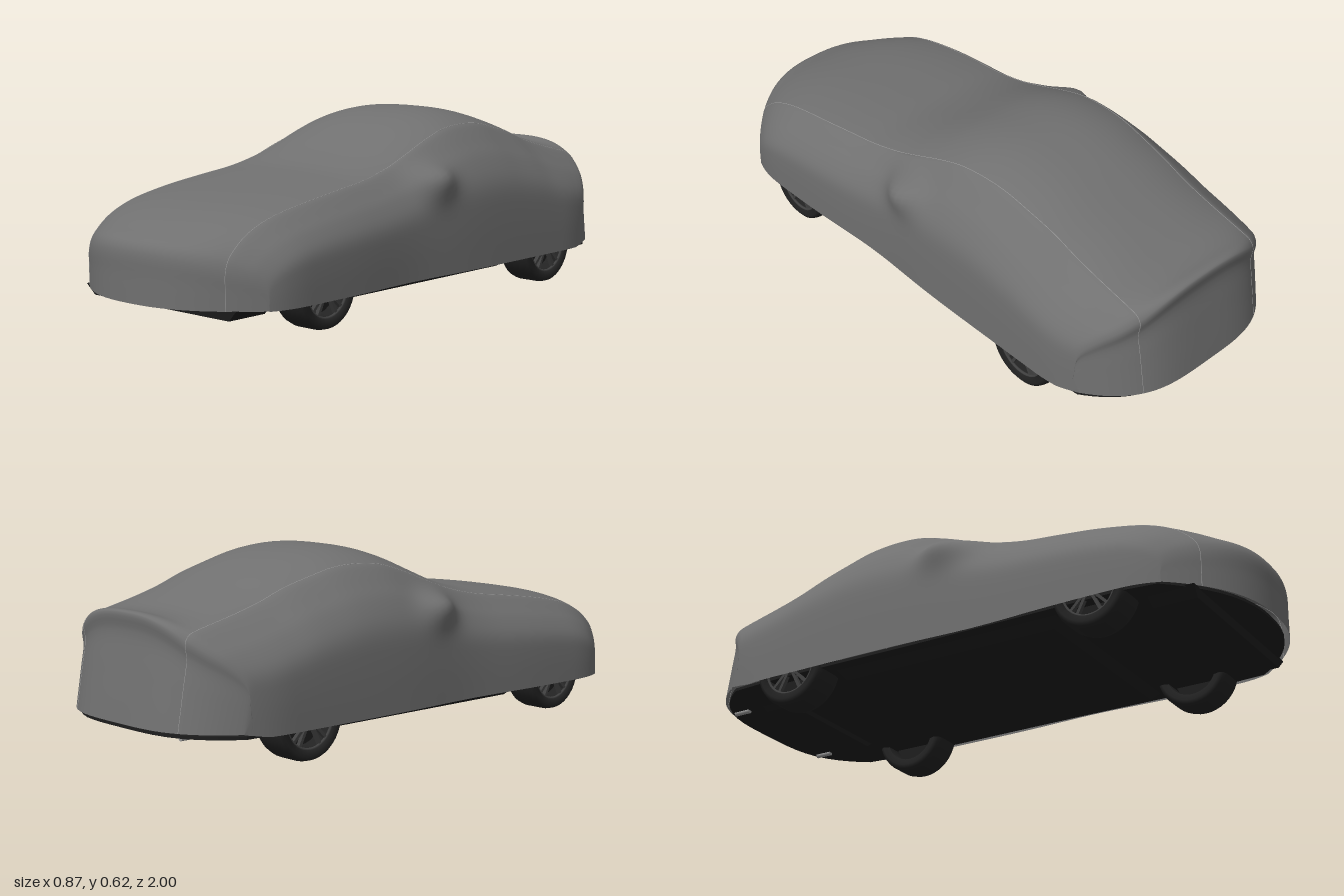
import * as THREE from 'three';

const mat = (name, color, side = THREE.FrontSide) => {
  const m = new THREE.MeshStandardMaterial({ color, side });
  m.name = name;
  return m;
};

// Lengthwise stations of the cover: [station, centre height, seam height]
const STATIONS = [
  [1, 0.105, 0.105], [1, 0.19, 0.165], [0.999, 0.265, 0.22], [0.98, 0.298, 0.255],
  [0.93, 0.322, 0.29], [0.86, 0.352, 0.325], [0.75, 0.385, 0.36], [0.6, 0.412, 0.388],
  [0.4, 0.437, 0.415], [0.27, 0.455, 0.432], [0.15, 0.495, 0.46], [0.05, 0.54, 0.495],
  [-0.05, 0.583, 0.533], [-0.15, 0.61, 0.563], [-0.25, 0.62, 0.573], [-0.35, 0.612, 0.568],
  [-0.45, 0.59, 0.546], [-0.55, 0.557, 0.52], [-0.65, 0.52, 0.485], [-0.75, 0.485, 0.458],
  [-0.84, 0.458, 0.438], [-0.9, 0.455, 0.425], [-0.945, 0.463, 0.412], [-0.962, 0.455, 0.39],
  [-0.957, 0.4, 0.34], [-0.972, 0.3, 0.26], [-0.988, 0.2, 0.18], [-1, 0.12, 0.12],
];

// Side drop from seam to hem: [outward fraction, downward fraction]
const SIDE = new THREE.SplineCurve(
  [[0, 0], [0.12, 0.028], [0.38, 0.12], [0.68, 0.24], [0.94, 0.42], [1, 0.66], [1, 1]]
    .map(p => new THREE.Vector2(...p)));

// Slight waist at the doors, tapering towards both ends
const halfWidth = s => 0.43 - 0.013 * Math.exp(-(((s - 0.15) / 0.22) ** 2))
  - 0.028 * (Math.max(0, Math.abs(s) - 0.7) / 0.3) ** 2;
const seamX = s => THREE.MathUtils.clamp(0.2865 + 0.045 * s, 0.26, 0.31);
// Nose and tail are rounded in plan
const planZ = (s, x) => {
  const r = Math.abs(x) / 0.43;
  return s > 0 ? s - 0.235 * r ** 2.4 * s ** 4 : s + 0.22 * r ** 3.6 * s ** 4;
};

// Point on the cover; |v| runs 0 (centre) to 1 (seam) to 2 (hem), its sign is the side
function coverPoint([s, yc, ys], signedV) {
  const v = Math.abs(signedV);
  const hem = 0.103 + 0.1 * Math.max(0, -s - 0.85);
  const sx = seamX(s);
  let x, y;
  if (v <= 1) {
    x = sx * v;
    y = ys + (yc - ys) * (1 - v ** 2.7);
  } else {
    const p = SIDE.getPoint(v - 1);
    x = sx + (halfWidth(s) - sx) * p.x;
    y = ys - (ys - hem) * p.y;
    // Door mirror pushing the cloth outwards, hanging softly below
    const bulge = Math.exp(-(((s - 0.015) / 0.08) ** 2) - (((y - 0.42) / (y < 0.42 ? 0.06 : 0.045)) ** 2));
    x += 0.055 * bulge;
    y += 0.012 * bulge;
  }
  return [signedV < 0 ? -x : x, y, planZ(s, x)];
}

// Smooth rows between the stations
function coverRows() {
  const curve = new THREE.CatmullRomCurve3(STATIONS.map(p => new THREE.Vector3(...p)));
  return curve.getPoints((STATIONS.length - 1) * 4).map(p => p.toArray());
}

// One strip of cloth between two values of v
function panelGeometry(rows, from, to, cols) {
  const pos = [], idx = [];
  rows.forEach(row => {
    for (let j = 0; j <= cols; j++) pos.push(...coverPoint(row, from + (to - from) * j / cols));
  });
  for (let i = 0; i < rows.length - 1; i++) {
    for (let j = 0; j < cols; j++) {
      const a = i * (cols + 1) + j, c = a + cols + 1;
      idx.push(a, a + 1, c, a + 1, c + 1, c);
    }
  }
  const g = new THREE.BufferGeometry();
  g.setAttribute('position', new THREE.Float32BufferAttribute(pos, 3));
  g.setIndex(idx);
  g.computeVertexNormals();
  return g;
}

// Floor slab following the rounded plan outline
function floorGeometry(bottom, top) {
  const pts = [];
  for (const end of [1, -1]) {
    for (let i = 0; i <= 24; i++) {
      const x = end * 0.4 * Math.cos(Math.PI * i / 24);
      pts.push(new THREE.Vector2(x, -planZ(end, x) * 0.98));
    }
    pts.push(new THREE.Vector2(-end * 0.413, -end * 0.68), new THREE.Vector2(-end * 0.408, end * 0.1));
    pts.push(new THREE.Vector2(-end * 0.413, end * 0.6));
  }
  // Keep the outline in one turning order
  pts.sort((a, b) => Math.atan2(a.y, a.x) - Math.atan2(b.y, b.x));
  const g = new THREE.ExtrudeGeometry(new THREE.Shape(pts), { depth: top - bottom, bevelEnabled: false });
  return g.rotateX(-Math.PI / 2).translate(0, bottom, 0);
}

// Tray under the floor whose lower face is narrower than its upper face
function trayGeometry(width, length, z, bottom) {
  const top = 0.106;
  const g = new THREE.BoxGeometry(width, top - bottom, length);
  const p = g.attributes.position;
  for (let i = 0; i < p.count; i++) {
    if (p.getY(i) < 0) p.setXYZ(i, p.getX(i) * 0.9, p.getY(i), p.getZ(i) * 0.94);
  }
  g.translate(0, (top + bottom) / 2, z);
  g.computeVertexNormals();
  return g;
}

export function createModel() {
  const car = new THREE.Group();
  car.name = 'coveredCar';
  const cloth = mat('greyCloth', 0x707070, THREE.DoubleSide);
  const piping = mat('paleSeam', 0xa0a0a0);
  const underbody = mat('blackUnderbody', 0x1d1d1d);
  const rubber = mat('tyreRubber', 0x222222);
  const metal = mat('rimMetal', 0x404040);
  const chrome = mat('exhaustMetal', 0x9a9a9a);

  const add = (name, geometry, material, parent = car) => {
    const m = new THREE.Mesh(geometry, material);
    m.name = name;
    parent.add(m);
    return m;
  };

  // Cloth cover: three panels meeting at two long seams with fine piping
  const rows = coverRows();
  add('centrePanel', panelGeometry(rows, -1, 1, 36), cloth);
  add('leftPanel', panelGeometry(rows, 1, 2, 26), cloth);
  add('rightPanel', panelGeometry(rows, -2, -1, 26), cloth);
  for (const side of [1, -1]) {
    const path = new THREE.CatmullRomCurve3(rows.map(r => new THREE.Vector3(...coverPoint(r, side))));
    add(side > 0 ? 'leftSeam' : 'rightSeam', new THREE.TubeGeometry(path, 200, 0.001, 5), piping);
  }

  // Floor, lower tray, front lip and rear tray
  add('floor', floorGeometry(0.102, 0.112), underbody);
  add('lowerTray', trayGeometry(0.74, 0.84, 0, 0.072), underbody);
  add('frontLip', trayGeometry(0.68, 0.16, 0.8, 0.072), underbody);
  add('rearTray', trayGeometry(0.5, 0.12, -0.76, 0.086), underbody);

  // Wheels: lathed tyre, rim ring, hub and paired spokes, with the axle along x
  const tyreProfile = [[0.094, -0.054], [0.116, -0.061], [0.128, -0.053], [0.133, -0.035], [0.133, 0.035],
    [0.128, 0.053], [0.116, 0.061], [0.094, 0.054], [0.094, -0.054]].map(p => new THREE.Vector2(...p));
  const tyre = new THREE.LatheGeometry(tyreProfile, 40).rotateZ(-Math.PI / 2);
  const rim = new THREE.TorusGeometry(0.094, 0.005, 8, 40).rotateY(Math.PI / 2).translate(0.05, 0, 0);
  const hub = new THREE.CylinderGeometry(0.022, 0.022, 0.02, 16).rotateZ(Math.PI / 2).translate(0.045, 0, 0);
  const disc = new THREE.CylinderGeometry(0.088, 0.088, 0.012, 28).rotateZ(Math.PI / 2);
  const spokeBar = new THREE.BoxGeometry(0.014, 0.078, 0.01).translate(0.045, 0.056, 0);
  for (const side of [1, -1]) {
    for (const [end, z, y, scale] of [['front', 0.56, 0.139, 0.97], ['rear', -0.575, 0.133, 1]]) {
      const wheel = new THREE.Group();
      wheel.name = end + (side > 0 ? 'Left' : 'Right') + 'Wheel';
      wheel.position.set(side * 0.362, y, z);
      wheel.rotation.y = side > 0 ? 0 : Math.PI;
      wheel.scale.set(1, scale, scale);
      add('tyre', tyre, rubber, wheel);
      add('rim', rim, metal, wheel);
      add('hub', hub, metal, wheel);
      add('brakeDisc', disc, underbody, wheel);
      for (let k = 0; k < 10; k++) {
        const spoke = add('spoke', spokeBar, metal, wheel);
        spoke.rotation.x = Math.floor(k / 2) * Math.PI * 0.4 + (k % 2 ? 0.16 : -0.16);
      }
      car.add(wheel);
    }
    // Exhaust tip
    add('exhaustTip', new THREE.CylinderGeometry(0.009, 0.009, 0.06, 16).rotateX(Math.PI / 2)
      .translate(side * 0.24, 0.1, -0.91), chrome);
  }
  return car;
}
